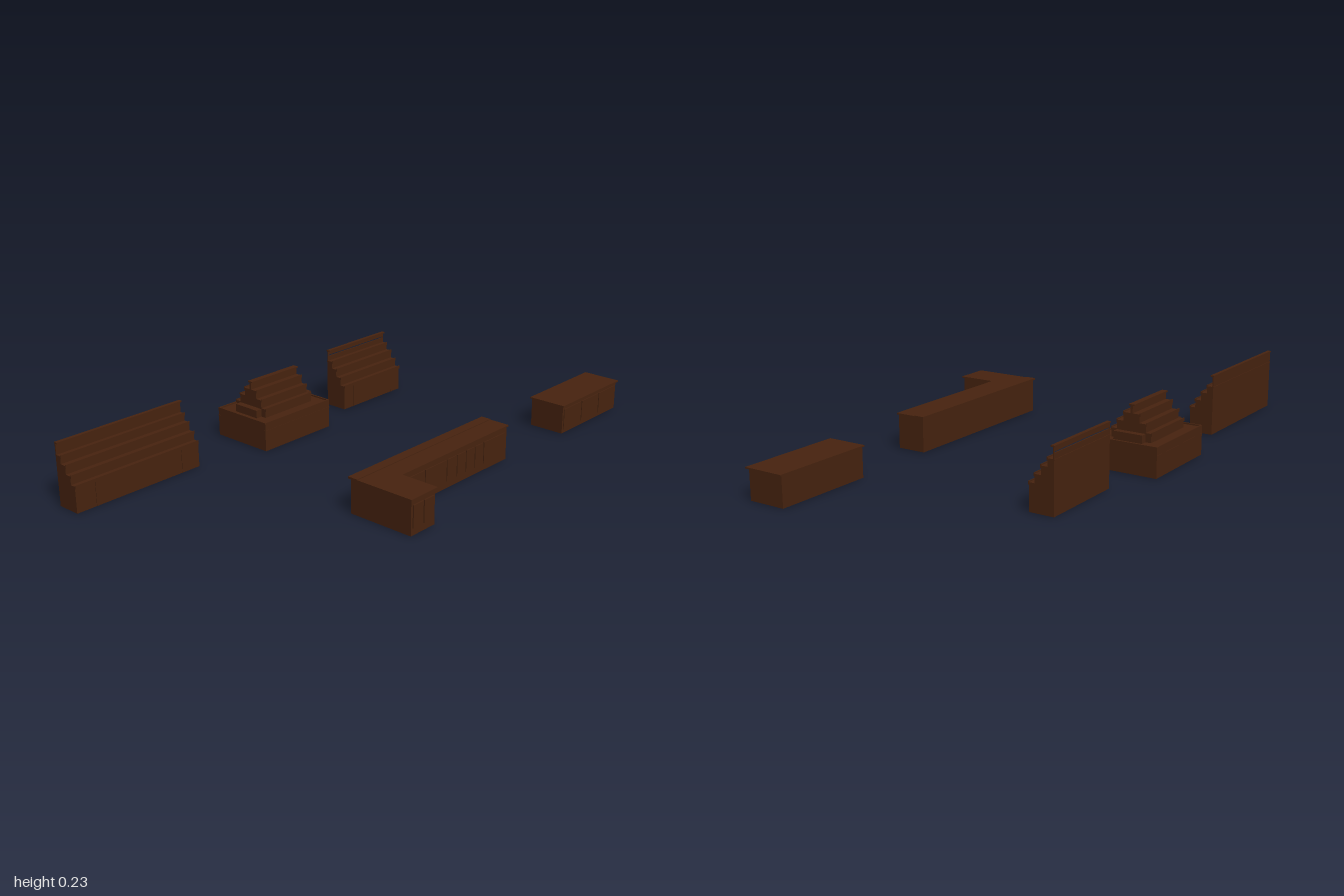
import * as THREE from 'three';

const wood = new THREE.MeshStandardMaterial({ color: 0x47230f });
wood.name = 'dark wood';

// Box given by its limits on each axis
function slab(parent, name, x0, x1, y0, y1, z0, z1) {
  const mesh = new THREE.Mesh(new THREE.BoxGeometry(x1 - x0, y1 - y0, z1 - z0), wood);
  mesh.position.set((x0 + x1) / 2, (y0 + y1) / 2, (z0 + z1) / 2);
  mesh.name = name;
  parent.add(mesh);
  return mesh;
}

// Panel cut to a [z, y] outline, standing across x
function endPanel(parent, name, x0, x1, outline) {
  const shape = new THREE.Shape(outline.map(([z, y]) => new THREE.Vector2(-z, y)));
  const geo = new THREE.ExtrudeGeometry(shape, { depth: x1 - x0, bevelEnabled: false });
  geo.rotateY(Math.PI / 2);
  const mesh = new THREE.Mesh(geo, wood);
  mesh.position.x = x0;
  mesh.name = name;
  parent.add(mesh);
}

// One stepped shelf: riser, tread and a small front lip. dir is the way it faces in z
function step(parent, x0, x1, yLow, y, zFront, zBack, dir) {
  const box = (name, a, b, y0, y1) => slab(parent, name, x0, x1, y0, y1, Math.min(a, b), Math.max(a, b));
  box('shelfRiser', zFront, zFront - dir * 0.004, yLow, y);
  box('shelfTread', zFront, zBack, y - 0.005, y);
  box('shelfLip', zFront + dir * 0.003, zFront, y - 0.008, y + 0.004);
}

// Stepped wall shelf, open underneath
function wallShelf(name, x0, x1, gap) {
  const g = new THREE.Group();
  g.name = name;
  const back = -0.463, fronts = [-0.373, -0.393, -0.416, -0.439], heights = [0.095, 0.125, 0.155, 0.182];
  const outline = [[back, 0], [fronts[0], 0]];
  fronts.forEach((z, i) => {
    outline.push([z, heights[i]], [fronts[i + 1] ?? back, heights[i]]);
    step(g, x0, x1, i ? heights[i - 1] - 0.005 : 0, heights[i], z, (fronts[i + 1] ?? back) - 0.002, 1);
  });
  endPanel(g, 'endPanel', x0, x0 + 0.006, outline);
  endPanel(g, 'endPanel', x1 - 0.006, x1, outline);
  slab(g, 'backPanel', x0, x1, 0, gap ? 0.201 : 0.222, back, back + 0.004);
  if (gap) {
    slab(g, 'upperBackPanel', x0, x1, 0.206, 0.222, back, back + 0.004);
    for (const x of [x0, x1 - 0.004]) slab(g, 'backPost', x, x + 0.004, 0.18, 0.222, back, back + 0.004);
  }
  slab(g, 'topRail', x0, x1 + 0.002, 0.22, 0.225, back - 0.003, back + 0.011);
  // raised frame on the base front
  const w = x1 - x0;
  for (const t of [0.15, 0.85]) slab(g, 'baseBatten', x0 + w * t, x0 + w * t + 0.004, 0, 0.087, -0.373, -0.371);
  return g;
}

// Double-sided stepped island with a bin at each end
function island() {
  const g = new THREE.Group();
  g.name = 'displayIsland';
  const zc = -0.419, hz = 0.124, xa = -0.233, xb = 0.099, ua = -0.185, ub = 0.051;
  // base walls and deck
  for (const s of [-1, 1]) {
    const z = zc + s * (hz - 0.003);
    slab(g, 'baseWall', xa, xb, 0, 0.108, z - 0.003, z + 0.003);
    slab(g, 'baseRail', xa - 0.001, xb + 0.001, 0.075, 0.079, z - 0.004, z + 0.004);
  }
  for (const x of [xa, xb - 0.006]) slab(g, 'baseEnd', x, x + 0.006, 0, 0.108, zc - hz, zc + hz);
  slab(g, 'baseDeck', xa, xb, 0.097, 0.103, zc - hz, zc + hz);
  // steps on both faces
  const half = [0.076, 0.055, 0.03], tops = [0.135, 0.165, 0.195];
  for (const s of [-1, 1]) {
    half.forEach((h, i) => step(g, ua, ub, i ? tops[i - 1] - 0.005 : 0.1, tops[i],
      zc + s * h, zc + s * (half[i + 1] ?? 0) - s * 0.002, s));
  }
  const outline = [[zc - half[0], 0.1], [zc + half[0], 0.1]];
  half.forEach((h, i) => outline.push([zc + h, tops[i]], [zc + (half[i + 1] ?? 0), tops[i]]));
  for (let i = 2; i >= 0; i--) {
    if (i < 2) outline.push([zc - half[i + 1], tops[i]]);
    outline.push([zc - half[i], tops[i]]);
  }
  endPanel(g, 'steppedEnd', ua, ua + 0.005, outline);
  endPanel(g, 'steppedEnd', ub - 0.005, ub, outline);
  slab(g, 'topSpine', ua, ub, 0.19, 0.225, zc - 0.004, zc + 0.004);
  slab(g, 'topRail', ua, ub, 0.221, 0.226, zc - 0.011, zc + 0.011);
  // end bins
  for (const [x0, x1] of [[ua - 0.024, ua], [ub, ub + 0.024]]) {
    slab(g, 'endBin', x0, x1, 0.1, 0.132, zc - 0.055, zc + 0.055);
  }
  return g;
}

// L-shaped service counter
function counter() {
  const g = new THREE.Group();
  g.name = 'cornerCounter';
  slab(g, 'counterBody', -0.413, 0.284, 0, 0.125, 0.284, 0.392);
  slab(g, 'counterReturn', -0.413, -0.297, 0, 0.125, 0.39, 0.535);
  slab(g, 'rearTop', -0.42, 0.289, 0.124, 0.131, 0.279, 0.317);
  slab(g, 'frontTop', -0.42, 0.289, 0.124, 0.129, 0.318, 0.397);
  slab(g, 'returnTop', -0.42, -0.291, 0.124, 0.129, 0.396, 0.542);
  // doors
  for (const x of [-0.405, -0.352]) slab(g, 'returnDoor', x, x + 0.048, 0.025, 0.105, 0.535, 0.539);
  const edges = [-0.285, -0.17, -0.055, 0.0, 0.05, 0.1, 0.15, 0.278];
  for (let i = 0; i < edges.length - 1; i++) {
    slab(g, 'counterDoor', edges[i], edges[i + 1] - 0.006, 0.025, 0.105, 0.392, 0.395);
  }
  return g;
}

// Free-standing low counter
function table() {
  const g = new THREE.Group();
  g.name = 'lowCounter';
  slab(g, 'lowBody', 0.62, 0.99, 0, 0.108, 0.27, 0.408);
  slab(g, 'lowTop', 0.615, 1.0, 0.107, 0.112, 0.264, 0.414);
  for (let i = 0; i < 3; i++) {
    const x = 0.628 + i * 0.12;
    slab(g, 'lowDoor', x, x + 0.114, 0.015, 0.095, 0.408, 0.411);
  }
  return g;
}

export function createModel() {
  const model = new THREE.Group();
  model.name = 'shopFurniture';
  model.add(
    wallShelf('longWallShelf', -1, -0.482, false),
    wallShelf('shortWallShelf', 0.27, 0.598, true),
    island(), counter(), table()
  );
  return model;
}
